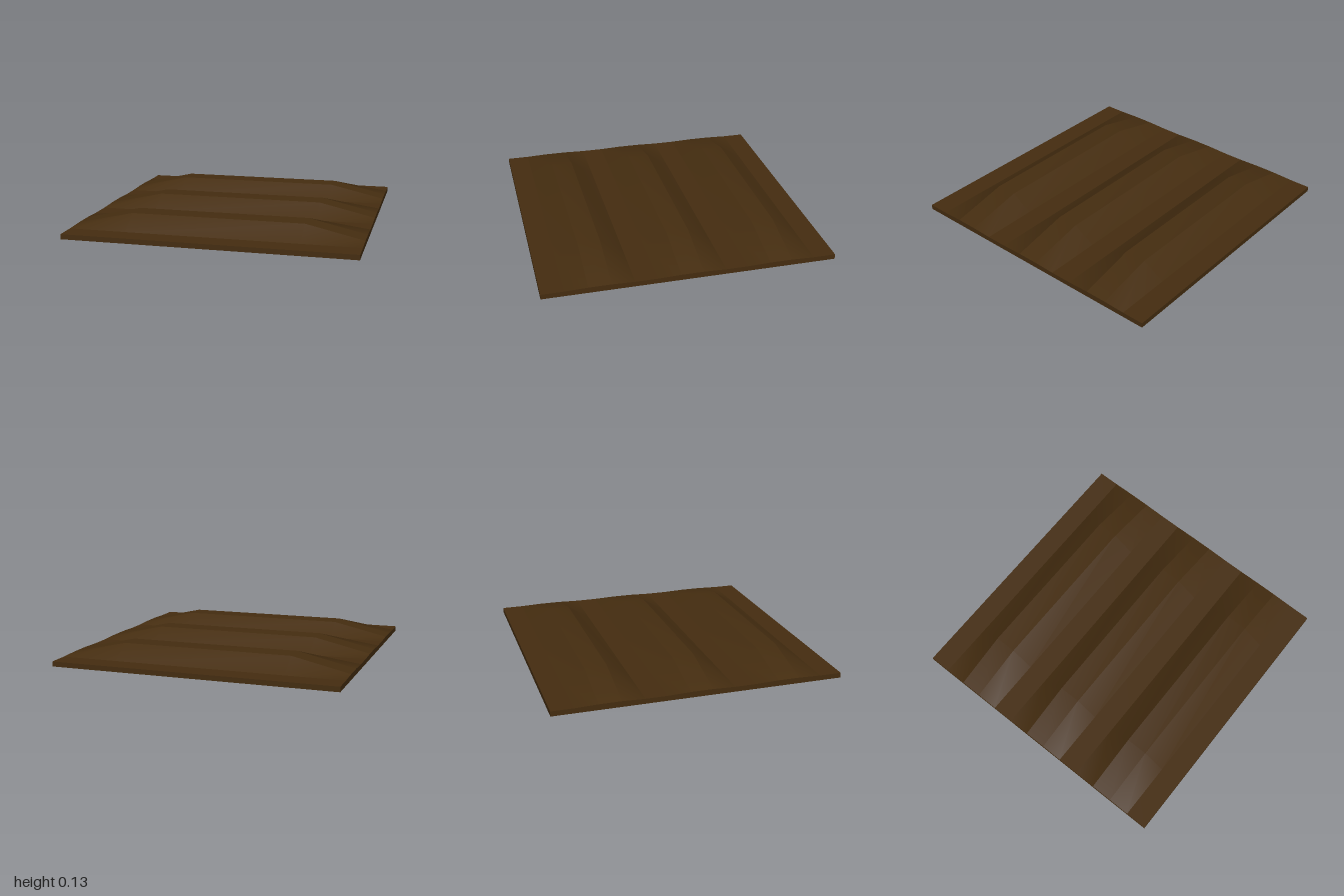
import * as THREE from 'three';
import { mergeGeometries } from 'three/addons/utils/BufferGeometryUtils.js';

const STEP = 2 / 13;               // width of one strip of soil
const BASE = 0.035, CREST = 0.13, END = 0.04;
const COLUMNS = [-1, -0.6, 0.6, 1]; // ridge stations along x
const CREST_AT = [END, CREST, CREST, END];

// One lengthwise strip of a ridge, smooth along x and hard-edged along z
function strip(z0, z1, backIsCrest, frontIsCrest) {
  const g = new THREE.PlaneGeometry(2, STEP, 3, 1).rotateX(-Math.PI / 2);
  const p = g.attributes.position;
  for (let i = 0; i < p.count; i++) {
    const c = i % 4, front = i >= 4;
    const high = front ? frontIsCrest : backIsCrest;
    p.setXYZ(i, COLUMNS[c], high ? CREST_AT[c] : BASE, front ? z1 : z0);
  }
  g.computeVertexNormals();
  return g;
}

// Low trapezoid closing a ridge at x = side
function endCap(side) {
  const shape = new THREE.Shape([[-1.5, BASE], [1.5, BASE], [0.5, END], [-0.5, END]]
    .map(([z, y]) => new THREE.Vector2(z * STEP, y)));
  return new THREE.ShapeGeometry(shape).rotateY(side * Math.PI / 2).translate(side, 0, 0);
}

export function createModel() {
  const model = new THREE.Group();
  model.name = 'ploughedField';
  const soil = new THREE.MeshStandardMaterial({ color: 0x452d10 });

  // Flat slab whose top forms the furrows
  const slab = new THREE.Mesh(new THREE.BoxGeometry(2, BASE, 2), soil);
  slab.name = 'soilSlab';
  slab.position.y = BASE / 2;
  model.add(slab);

  // Three parallel ridges tapering towards both ends
  const ridgeGeometry = mergeGeometries([
    strip(-1.5 * STEP, -0.5 * STEP, false, true),
    strip(-0.5 * STEP, 0.5 * STEP, true, true),
    strip(0.5 * STEP, 1.5 * STEP, true, false),
    endCap(-1), endCap(1),
  ]);
  for (const i of [-1, 0, 1]) {
    const ridge = new THREE.Mesh(ridgeGeometry, soil);
    ridge.name = 'soilRidge' + (i + 2);
    ridge.position.z = i * 4 * STEP;
    model.add(ridge);
  }
  return model;
}
